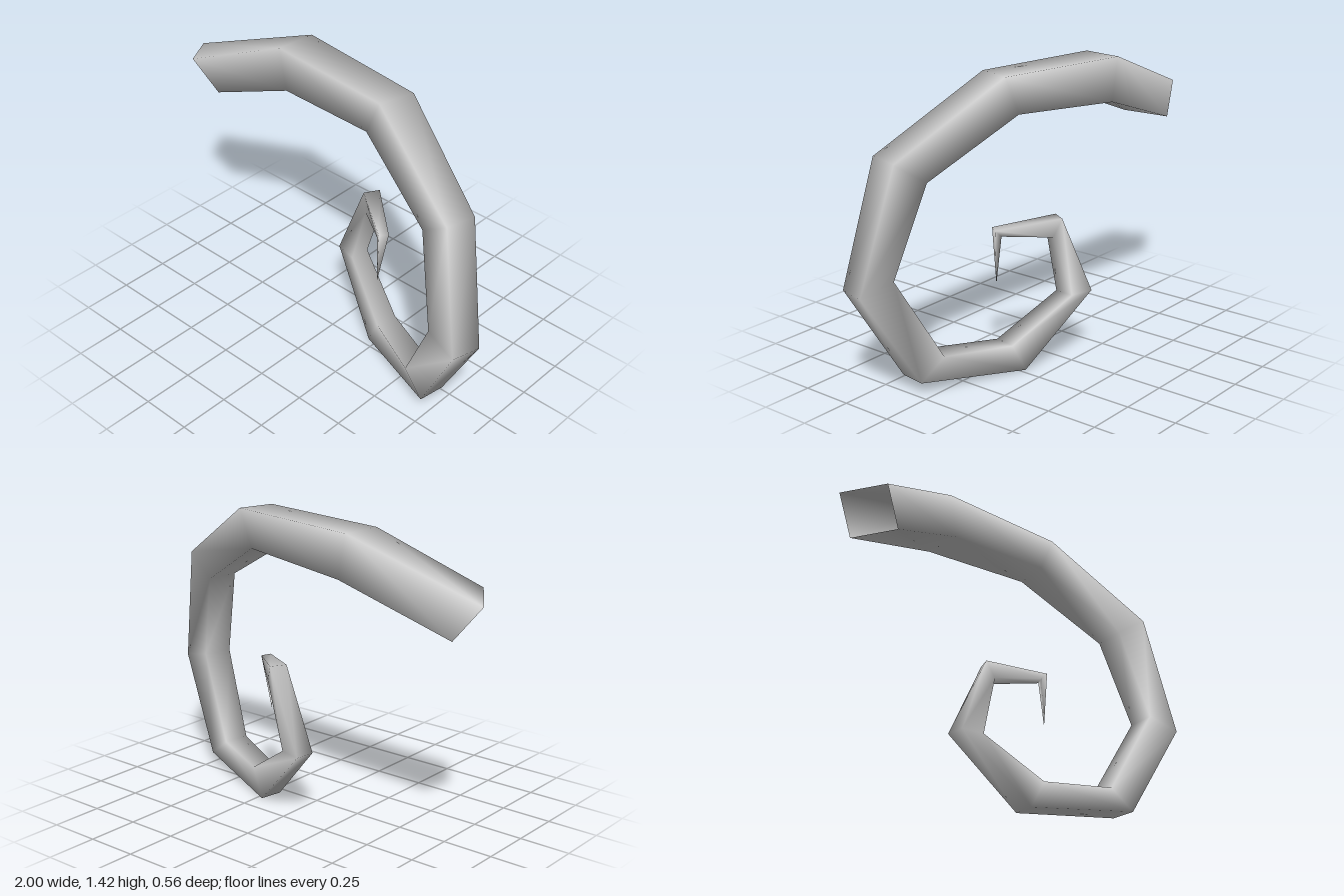
import * as THREE from 'three';

// Cross-sections along the curl: centre, half-vector to the outer side, half-vector to the front
const SECTIONS = [
  [[-0.88, 1.105, -0.064], [-0.06, 0.08, 0.024], [0.06, 0.015, 0.09]],
  [[-0.345, 1.305, -0.14], [-0.02, 0.105, 0], [-0.01, 0, 0.098]],
  [[0.285, 1.33, -0.06], [0.04, 0.09, 0.005], [-0.025, 0, 0.085]],
  [[0.765, 1.055, 0.105], [0.08, 0.055, 0.02], [-0.015, 0.003, 0.075]],
  [[0.895, 0.54, 0.19], [0.085, -0.02, 0.02], [-0.018, 0, 0.07]],
  [[0.662, 0.108, 0.09], [0.062, -0.048, 0.015], [-0.01, 0, 0.065]],
  [[0.25, 0.07, -0.085], [-0.035, -0.07, -0.01], [-0.01, 0, 0.055]],
  [[-0.06, 0.33, -0.215], [-0.057, 0, -0.015], [-0.005, 0, 0.05]],
  [[0.075, 0.685, -0.2], [-0.018, 0.043, -0.012], [-0.02, 0, 0.035]],
  [[0.287, 0.675, -0.032], [0.013, 0.015, 0.008], [-0.013, 0.002, 0.02]],
];
const TIP = [0.272, 0.415, -0.015];
const CORNERS = [[1, 1], [1, -1], [-1, -1], [-1, 1]];

// Four-sided tapering skin, open at the root and closed to a point at the tip
function curlGeometry() {
  const positions = [];
  const index = [];
  for (const [centre, out, front] of SECTIONS) {
    for (const [u, v] of CORNERS) {
      for (let k = 0; k < 3; k++) positions.push(centre[k] + u * out[k] + v * front[k]);
    }
  }
  positions.push(...TIP);

  const last = SECTIONS.length - 1;
  for (let i = 0; i <= last; i++) {
    for (let j = 0; j < 4; j++) {
      const a = i * 4 + j;
      const b = i * 4 + (j + 1) % 4;
      if (i < last) index.push(a, a + 4, b, b, a + 4, b + 4);
      else index.push(a, (last + 1) * 4, b);
    }
  }

  const geometry = new THREE.BufferGeometry();
  geometry.setAttribute('position', new THREE.Float32BufferAttribute(positions, 3));
  geometry.setIndex(index);
  geometry.computeVertexNormals();
  return geometry;
}

export function createModel() {
  const group = new THREE.Group();
  group.name = 'curledTail';
  const material = new THREE.MeshStandardMaterial({ color: 0xcccccc, side: THREE.DoubleSide });
  const tail = new THREE.Mesh(curlGeometry(), material);
  tail.name = 'tail';
  group.add(tail);
  return group;
}
